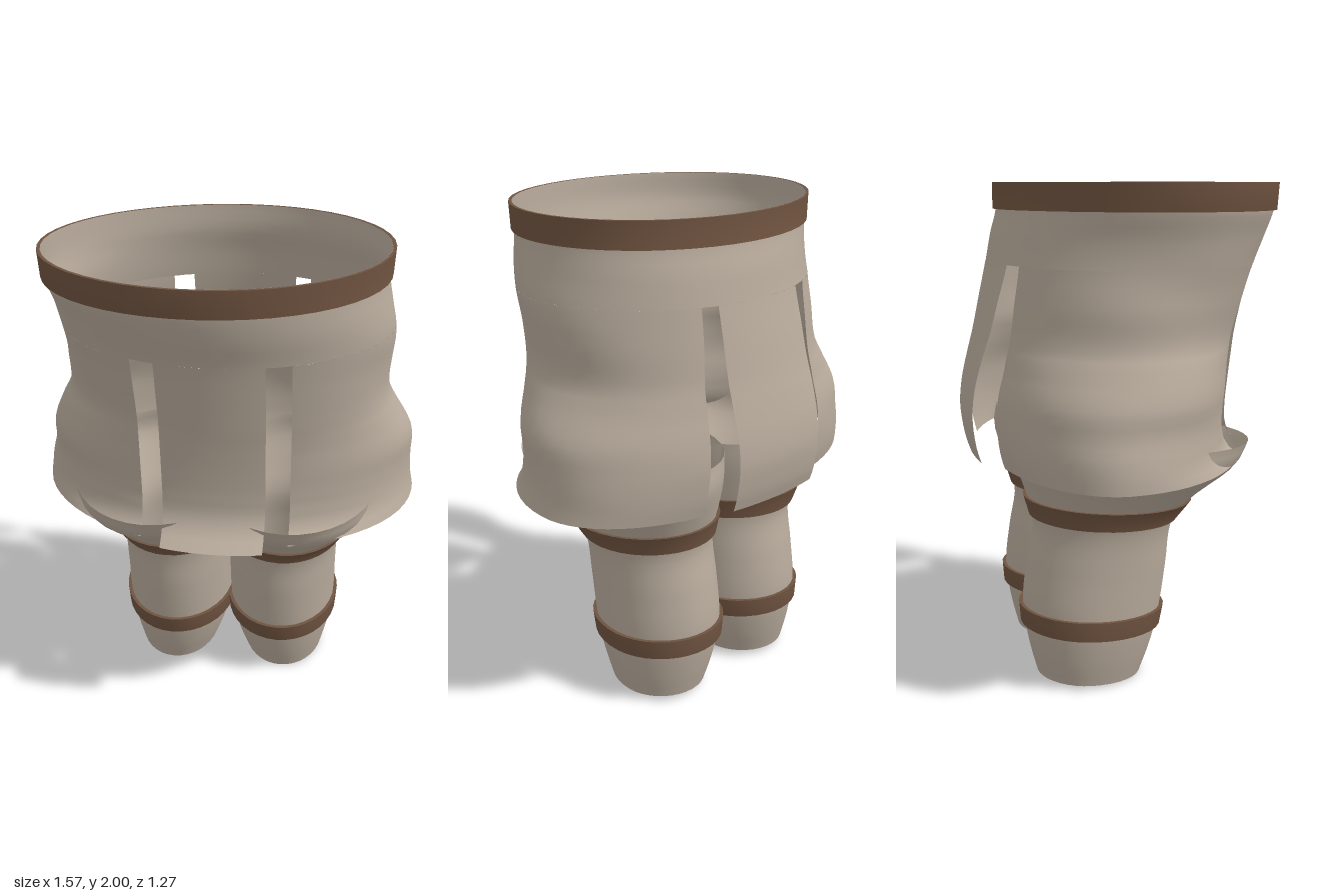
import * as THREE from 'three';
import { mergeGeometries } from 'three/addons/utils/BufferGeometryUtils.js';

const cloth = new THREE.MeshStandardMaterial({ color: 0xb7aa9b, side: THREE.DoubleSide });
cloth.name = 'tan cloth';
const leather = new THREE.MeshStandardMaterial({ color: 0x6f5340, side: THREE.DoubleSide });
leather.name = 'brown leather';

// Smooth lookup through rows whose first entry is the height
function profile(rows) {
  const size = rows[0].length - 1;
  const curve = new THREE.CubicInterpolant(
    rows.map((r) => r[0]), rows.flatMap((r) => r.slice(1)), size, new Float32Array(size));
  return (y) => Array.from(curve.evaluate(y));
}

// Surface patch from fn(u, v), with smooth normals taken from its slopes
function loft(fn, nu, nv) {
  const pos = [], nor = [], uv = [], idx = [];
  const e = 1e-3, lo = (t) => Math.max(0, t - e), hi = (t) => Math.min(1, t + e);
  for (let j = 0; j <= nv; j++) {
    for (let i = 0; i <= nu; i++) {
      const u = i / nu, v = j / nv;
      const du = fn(hi(u), v).sub(fn(lo(u), v));
      const dv = fn(u, hi(v)).sub(fn(u, lo(v)));
      pos.push(...fn(u, v).toArray());
      nor.push(...du.cross(dv).normalize().toArray());
      uv.push(u, v);
      if (i < nu && j < nv) {
        const a = j * (nu + 1) + i, b = a + 1, c = a + nu + 1, d = c + 1;
        idx.push(a, b, d, a, d, c);
      }
    }
  }
  const g = new THREE.BufferGeometry();
  g.setAttribute('position', new THREE.Float32BufferAttribute(pos, 3));
  g.setAttribute('normal', new THREE.Float32BufferAttribute(nor, 3));
  g.setAttribute('uv', new THREE.Float32BufferAttribute(uv, 2));
  g.setIndex(idx);
  return g;
}

const { lerp, clamp, smoothstep } = THREE.MathUtils;
const TAU = Math.PI * 2;

// Strap around a surface at(angle, height, offset): lower lip, outer face, upper lip
function strap(at, y0, y1, thick, n) {
  const strip = (ya, oa, yb, ob) =>
    loft((u, v) => at(u * TAU, lerp(ya, yb, v), lerp(oa, ob, v)), n, 1);
  return mergeGeometries([
    strip(y0, 0.001, y0, thick), strip(y0, thick, y1, thick), strip(y1, thick, y1, 0.001)]);
}

// Tunic: height, right x, left x, front z, back z, middle z
const tunicRows = profile([
  [0.915, -0.784, 0.79, 0.55, -0.60, -0.14],
  [0.96, -0.78, 0.782, 0.49, -0.615, -0.13],
  [1.02, -0.772, 0.773, 0.455, -0.627, -0.12],
  [1.1, -0.757, 0.762, 0.45, -0.635, -0.10],
  [1.2, -0.752, 0.75, 0.458, -0.626, -0.08],
  [1.33, -0.685, 0.69, 0.477, -0.597, -0.05],
  [1.4, -0.642, 0.662, 0.49, -0.578, -0.03],
  [1.55, -0.638, 0.655, 0.52, -0.542, 0.01],
  [1.69, -0.64, 0.652, 0.552, -0.508, 0.05],
  [1.8, -0.65, 0.635, 0.59, -0.486, 0.07],
  [1.9, -0.677, 0.618, 0.615, -0.462, 0.08],
  [2.0, -0.683, 0.623, 0.62, -0.462, 0.08],
]);
const SLIT_TOP = 1.69, HEM = 0.915;

// tuckFront and tuckBack pull the side panels in behind the middle ones
function tunicAt(a, y, off = 0, tuckFront = 0, tuckBack = 0) {
  const [xl, xr, zf, zb, cz] = tunicRows(y);
  const s = Math.sin(a), c = Math.cos(a);
  const fold = 0.008 * Math.sin(13 * y + 3 * a) * s * s * clamp((1.85 - y) * 4, 0, 1);
  const x = (xl + xr) / 2 + ((xr - xl) / 2 + off + fold) * s;
  const drop = Math.min(1, (SLIT_TOP - y) / 0.4);
  const flare = 1 + 10 * Math.max(0, 1.02 - y);
  const r = c > 0 ? zf - cz - tuckFront * drop * flare : cz - zb - tuckBack * drop;
  const skew = (0.025 * c - 0.065) * x * clamp((y - 1.4) / 0.5, 0, 1);
  return new THREE.Vector3(x, y, cz + (r + off) * c + skew);
}

// Angle at which the front half of the tunic reaches a given x
function angleAt(x, y) {
  const [xl, xr] = tunicRows(y);
  return Math.asin((x - (xl + xr) / 2) / ((xr - xl) / 2));
}

// Hanging panel between two edges, each edge giving an angle for a height
function panel(from, to, n, tuckFront, tuckBack) {
  return loft((u, v) => {
    const y = lerp(HEM, SLIT_TOP, v);
    return tunicAt(lerp(from(y), to(y), u), y, 0, tuckFront, tuckBack);
  }, n, 24);
}
const front = (x) => (y) => angleAt(x, y);
const back = (x, flare = 0) => (y) =>
  Math.PI - angleAt(x + flare * (1 - smoothstep(y, HEM, SLIT_TOP)), y);

// Leg: height, outer x, inner x, front z, back z, widest point from back (0) to front (1)
const legRows = profile([
  [0.015, 0.428, 0.07, 0.05, -0.38, 0.44],
  [0.12, 0.452, 0.032, 0.09, -0.407, 0.44],
  [0.24, 0.47, 0.003, 0.125, -0.428, 0.45],
  [0.32, 0.474, -0.002, 0.14, -0.432, 0.45],
  [0.5, 0.474, -0.004, 0.165, -0.41, 0.46],
  [0.65, 0.48, -0.006, 0.18, -0.385, 0.47],
  [0.71, 0.495, -0.012, 0.2, -0.393, 0.48],
  [0.8, 0.545, -0.035, 0.28, -0.423, 0.49],
  [0.94, 0.635, -0.07, 0.44, -0.465, 0.5],
  [1.03, 0.635, -0.09, 0.49, -0.455, 0.52],
]);

function legAt(side) {
  return (angle, y, off = 0) => {
    const [xo, xi, zf, zb, wide] = legRows(y);
    const a = side * angle, c = Math.cos(a), mid = lerp(zb, zf, wide);
    const z = mid + ((c > 0 ? zf - mid : mid - zb) + off) * c;
    const x = (xo + xi) / 2 + ((xo - xi) / 2 + off) * Math.sin(a);
    return new THREE.Vector3(side * x, y - 0.06 * (z + 0.165), z);
  };
}

export function createModel() {
  const model = new THREE.Group();
  model.name = 'tunicAndLeggings';
  const add = (parent, name, geometry, material) => {
    const mesh = new THREE.Mesh(geometry, material);
    mesh.name = name;
    parent.add(mesh);
  };

  // Tunic body above the slits, and the belt round its top
  const tunic = new THREE.Group();
  tunic.name = 'tunic';
  model.add(tunic);
  add(tunic, 'tunicTop', loft((u, v) => tunicAt(u * TAU, lerp(SLIT_TOP, 2, v)), 48, 10), cloth);
  add(tunic, 'belt', strap(tunicAt, 1.896, 2, 0.013, 48), leather);

  // Four panels below, parted by the slits
  add(tunic, 'frontPanel', panel(front(-0.2), front(0.2), 10, 0, 0), cloth);
  add(tunic, 'backPanel', panel(back(0.235), back(-0.207), 10, 0, 0), cloth);
  add(tunic, 'leftPanel', panel(front(0.292), back(0.3, 0.05), 24, 0.025, 0.02), cloth);
  add(tunic, 'rightPanel',
    panel((y) => back(-0.288, -0.025)(y) - TAU, front(-0.29), 24, 0.025, 0.06), cloth);

  // Open leggings with two straps each
  for (const side of [1, -1]) {
    const at = legAt(side);
    const leg = new THREE.Group();
    leg.name = side > 0 ? 'leftLegging' : 'rightLegging';
    model.add(leg);
    add(leg, 'legCloth', loft((u, v) => at(u * TAU, lerp(0.015, 1.03, v)), 36, 28), cloth);
    add(leg, 'thighStrap', strap(at, 0.688, 0.77, 0.014, 36), leather);
    add(leg, 'shinStrap', strap(at, 0.229, 0.309, 0.016, 36), leather);
  }
  return model;
}
